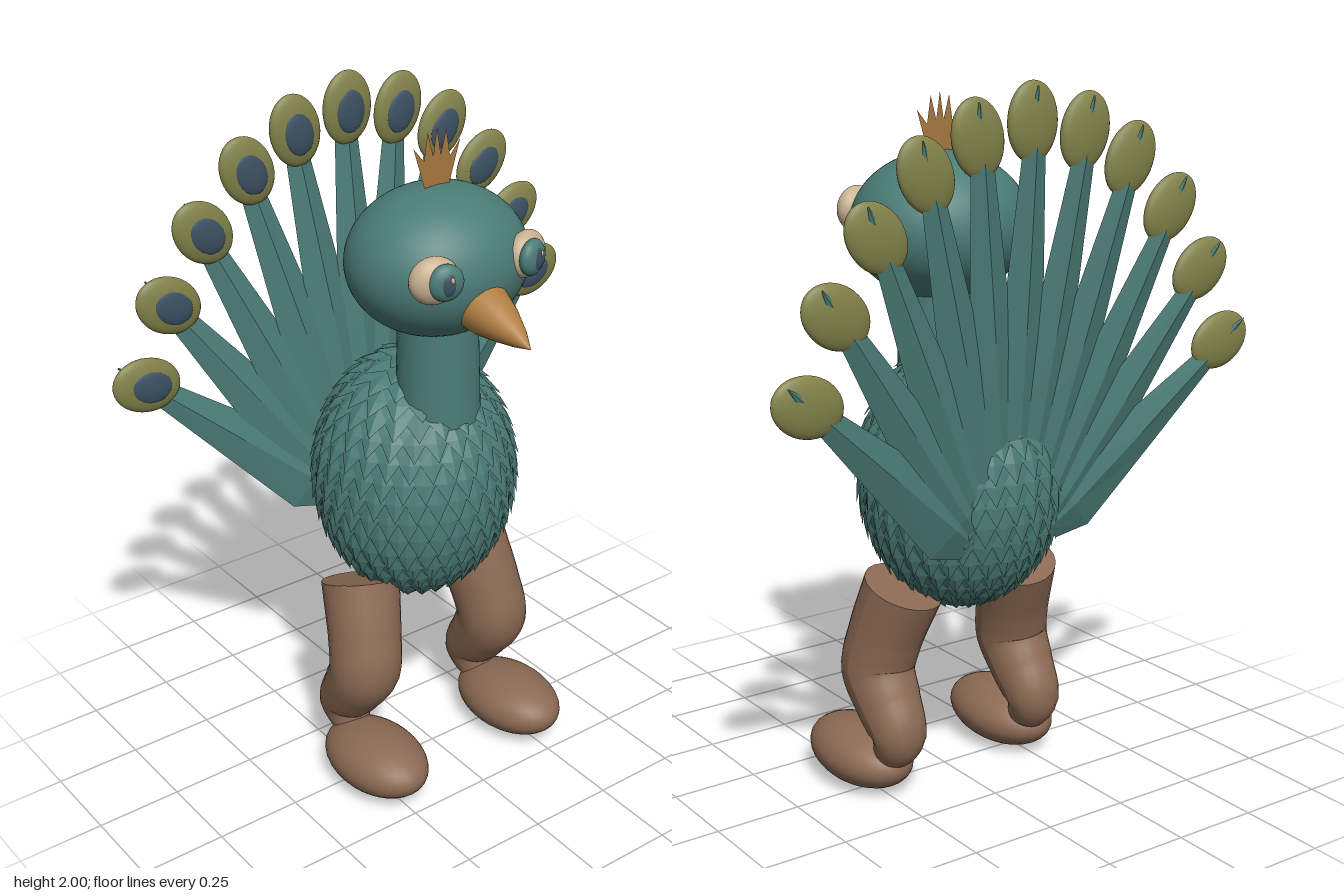
import * as THREE from 'three';

const mat = (name, color) => Object.assign(new THREE.MeshStandardMaterial({ color }), { name });

export function createModel() {
  const teal = mat('teal plumage', 0x4b7c77);
  const scaleTeal = mat('teal scales', 0x4a7a74);
  scaleTeal.side = THREE.DoubleSide;
  const brown = mat('brown skin', 0x8c6a54);
  const olive = mat('olive feather eye', 0x83824a);
  const slate = mat('slate blue', 0x3d5163);
  const cream = mat('cream', 0xc9b292);
  const orange = mat('beak orange', 0xb07f42);
  const crestOrange = mat('crest orange', 0xa87840);
  crestOrange.side = THREE.DoubleSide;

  const model = new THREE.Group();
  model.name = 'bird';
  const add = (name, geo, material, parent = model) => {
    const mesh = new THREE.Mesh(geo, material);
    mesh.name = name;
    parent.add(mesh);
    return mesh;
  };
  const ball = (name, material, pos, radii, parent = model, seg = 32) => {
    const m = add(name, new THREE.SphereGeometry(1, seg, Math.round(seg * 0.7)), material, parent);
    m.position.set(...pos);
    m.scale.set(...radii);
    return m;
  };

  // Body, neck and head
  const bodyC = new THREE.Vector3(0, 0.915, -0.085);
  const bodyR = new THREE.Vector3(0.284, 0.368, 0.278);
  ball('body', teal, bodyC.toArray(), bodyR.toArray(), model, 40);
  const neck = add('neck', new THREE.CylinderGeometry(0.108, 0.118, 0.34, 32), teal);
  neck.position.set(0, 1.31, 0.025);
  ball('head', teal, [0, 1.593, 0.02], [0.255, 0.202, 0.23], model, 48);

  // Overlapping pointed scales in staggered rings around the body
  const verts = [];
  const onBody = (phi, theta, lift) => {
    const n = new THREE.Vector3(Math.sin(phi) * Math.sin(theta), Math.cos(phi), Math.sin(phi) * Math.cos(theta));
    const p = n.clone().multiply(bodyR).add(bodyC);
    return p.addScaledVector(n.divide(bodyR).normalize(), lift);
  };
  const rows = 19;
  for (let r = 0; r < rows; r++) {
    const phi = 0.14 + (r / (rows - 1)) * 2.8;
    const count = Math.max(5, Math.round(32 * Math.sin(phi)));
    const half = 0.031 / (0.284 * Math.sin(phi));
    for (let i = 0; i < count; i++) {
      const theta = ((i + (r % 2) / 2) / count) * Math.PI * 2;
      const top = onBody(phi - 0.05, theta, 0.002);
      const left = onBody(phi + 0.08, theta - half, 0.003);
      const right = onBody(phi + 0.08, theta + half, 0.003);
      const ridge = onBody(phi + 0.09, theta, 0.011);
      const tip = onBody(Math.min(phi + 0.23, 3.1), theta, 0.017);
      for (const p of [top, left, ridge, top, ridge, right, left, tip, ridge, ridge, tip, right]) verts.push(p.x, p.y, p.z);
    }
  }
  const scales = new THREE.BufferGeometry();
  scales.setAttribute('position', new THREE.Float32BufferAttribute(verts, 3));
  scales.computeVertexNormals();
  add('bodyScales', scales, scaleTeal);

  // Beak: tapered cone, tip drooping slightly
  const beakProfile = [[0.074, 0], [0.07, 0.05], [0.052, 0.11], [0.028, 0.17], [0.001, 0.22]];
  const beakGeo = new THREE.LatheGeometry(beakProfile.map(p => new THREE.Vector2(...p)), 24);
  beakGeo.rotateX(Math.PI / 2);
  const bp = beakGeo.attributes.position;
  for (let i = 0; i < bp.count; i++) {
    const along = Math.max(0, bp.getZ(i)) / 0.22;
    bp.setY(i, bp.getY(i) - 0.055 * along ** 1.4);
  }
  beakGeo.computeVertexNormals();
  add('beak', beakGeo, orange).position.set(0, 1.525, 0.19);

  // Crest: thin jagged crown
  const crest = new THREE.Shape([[-0.035, 0], [-0.075, 0.13], [-0.042, 0.09], [-0.03, 0.165], [-0.012, 0.1], [0, 0.175],
    [0.012, 0.1], [0.03, 0.165], [0.042, 0.09], [0.075, 0.13], [0.035, 0]].map(p => new THREE.Vector2(...p)));
  add('crest', new THREE.ShapeGeometry(crest), crestOrange).position.set(0, 1.775, 0.02);

  // Eyes, legs and feet on both sides
  for (const s of [1, -1]) {
    const eye = new THREE.Group();
    eye.name = s > 0 ? 'leftEye' : 'rightEye';
    eye.position.set(s * 0.15, 1.627, 0.205);
    eye.rotation.y = s * 0.3;
    model.add(eye);
    ball('eyeball', cream, [0, 0, 0], [0.068, 0.064, 0.042], eye);
    ball('iris', teal, [-s * 0.02, 0.004, 0.032], [0.048, 0.05, 0.026], eye);
    ball('pupil', slate, [-s * 0.021, 0.004, 0.046], [0.024, 0.034, 0.015], eye, 20);
    ball('eyeGlint', cream, [-s * 0.021 + 0.008, 0.018, 0.058], [0.006, 0.008, 0.004], eye, 12);

    const leg = new THREE.Group();
    leg.name = s > 0 ? 'leftLeg' : 'rightLeg';
    model.add(leg);
    const path = new THREE.CatmullRomCurve3([[0.196, 0.62, -0.083], [0.222, 0.47, -0.03], [0.235, 0.37, -0.012],
      [0.236, 0.285, -0.06], [0.236, 0.2, -0.112], [0.238, 0.13, -0.085]].map(([x, y, z]) => new THREE.Vector3(s * x, y, z)));
    const radii = [0.113, 0.106, 0.105, 0.094, 0.08, 0.055];
    const rings = 30, sides = 24;
    const tube = new THREE.TubeGeometry(path, rings, 1, sides);
    const tp = tube.attributes.position;
    const v = new THREE.Vector3();
    for (let i = 0; i < tp.count; i++) {
      const u = Math.floor(i / (sides + 1)) / rings;
      const c = path.getPointAt(u);
      const t = path.getUtoTmapping(u) * 5;
      const k = Math.min(4, Math.floor(t));
      v.fromBufferAttribute(tp, i).sub(c).multiplyScalar(THREE.MathUtils.lerp(radii[k], radii[k + 1], t - k)).add(c);
      tp.setXYZ(i, v.x, v.y, v.z);
    }
    tube.computeVertexNormals();
    add('shank', tube, brown, leg);
    const cap = add('legTop', new THREE.CircleGeometry(radii[0], sides), brown, leg);
    cap.position.copy(path.getPointAt(0));
    cap.quaternion.setFromUnitVectors(new THREE.Vector3(0, 0, 1), path.getTangentAt(0).negate());
    ball('foot', brown, [s * 0.25, 0.097, 0.058], [0.126, 0.089, 0.193], leg).rotation.x = -0.04;
  }

  // Tail fan: kite-shaped blades, each carrying an oval eye spot
  const spots = [[0, 1.9], [0.17, 1.868], [0.325, 1.788], [0.47, 1.648], [0.587, 1.47], [0.67, 1.26]];
  const tail = new THREE.Group();
  tail.name = 'tail';
  model.add(tail);
  for (let i = -5; i <= 5; i++) {
    const k = Math.abs(i), s = Math.sign(i);
    const feather = new THREE.Group();
    feather.name = 'tailFeather';
    tail.add(feather);
    const [sx, sy] = spots[k];
    const base = new THREE.Vector3(0.026 * i, 0.79, -0.3);
    const dir = new THREE.Vector3(s * sx, sy, -0.397).sub(base);
    const len = dir.length();
    dir.normalize();
    // Distance along the blade, half width, half thickness
    const stations = [[0, 0.05, 0.015], [0.13 * len, 0.1, 0.026], [0.5 * len, 0.07, 0.022],
      [len - 0.08, 0.037, 0.013], [len + 0.09, 0.002, 0.002]];
    const geo = new THREE.CylinderGeometry(1, 1, 1, 4, 4).toNonIndexed();
    const p = geo.attributes.position;
    for (let j = 0; j < p.count; j++) {
      const [y, w, d] = stations[Math.round((p.getY(j) + 0.5) * 4)];
      p.setXYZ(j, p.getX(j) * w, y, p.getZ(j) * d);
    }
    geo.computeVertexNormals();
    const blade = add('featherBlade', geo, teal, feather);
    const side = dir.clone().cross(new THREE.Vector3(0, 0, 1)).normalize();
    blade.quaternion.setFromRotationMatrix(new THREE.Matrix4().makeBasis(side, dir, side.clone().cross(dir)));
    blade.position.copy(base);

    const spot = new THREE.Group();
    spot.name = 'featherSpot';
    spot.position.set(s * sx, sy, -0.383);
    spot.rotation.z = -i * THREE.MathUtils.degToRad(14.5);
    feather.add(spot);
    ball('spotRim', olive, [0, 0, 0], [0.078, 0.103, 0.025], spot, 28);
    ball('spotCentre', slate, [0, -0.006, 0.017], [0.046, 0.062, 0.013], spot, 24);
  }
  return model;
}
